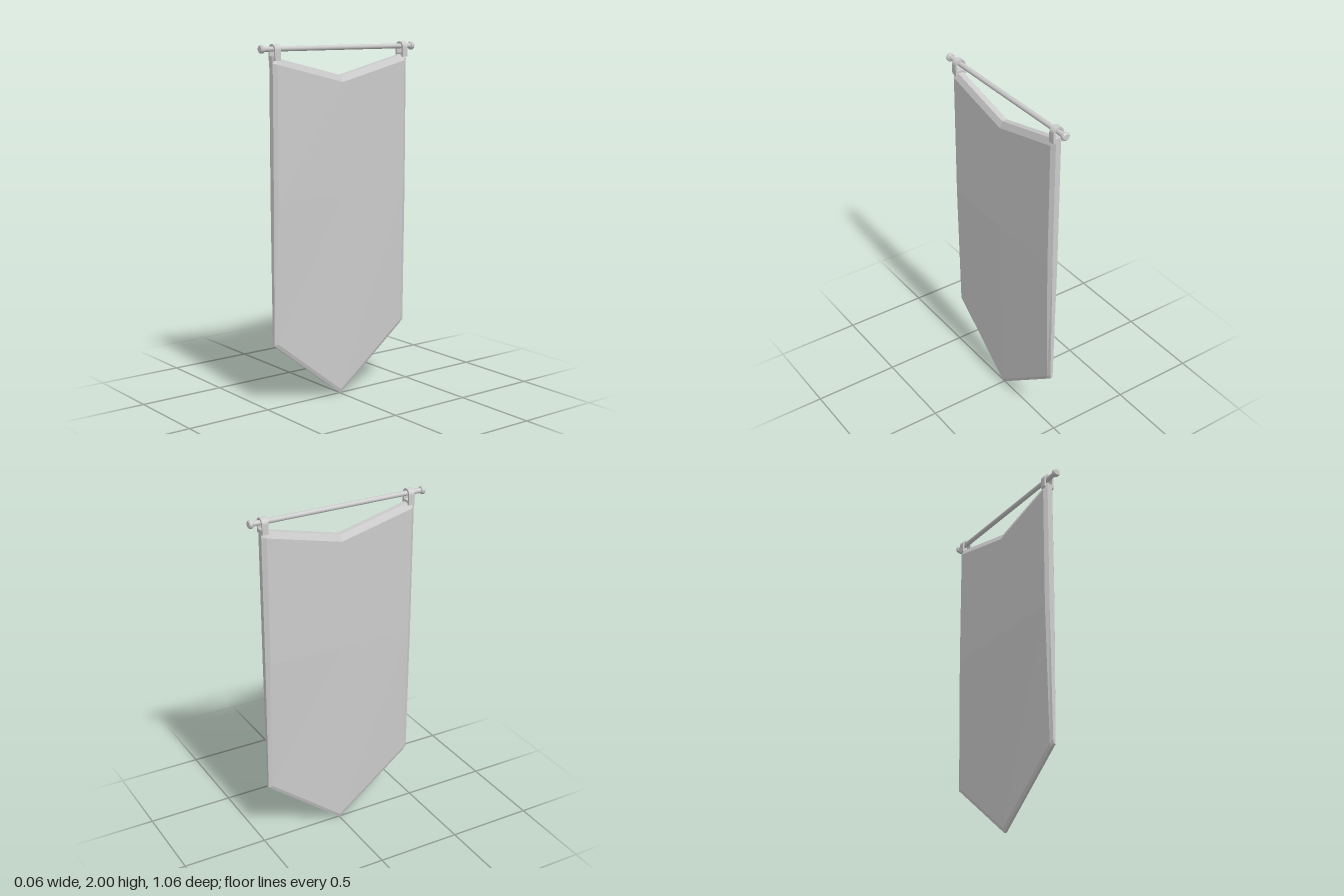
import * as THREE from 'three';

const material = new THREE.MeshStandardMaterial({ color: 0xcccccc });
const flat = new THREE.MeshStandardMaterial({ color: 0xcccccc, flatShading: true, side: THREE.DoubleSide });

function add(parent, name, geometry, mat = material) {
  const mesh = new THREE.Mesh(geometry, mat);
  mesh.name = name;
  parent.add(mesh);
  return mesh;
}

// Cloth panel: two bevelled sheets on a grid of columns (z) and rows (y), joined by an edge strip
function clothGeometry() {
  const columns = [-0.465, -0.441, 0, 0.436, 0.457];
  const last = 4;
  const halfThickness = y => 0.015 + 0.017 * THREE.MathUtils.clamp((y - 0.36) / 0.8, 0, 1);
  const point = (c, r, side) => {
    const z = columns[c], t = Math.abs(z) / 0.46;
    const top = 1.822 + 0.112 * t, bottom = 0.36 * t;
    const y = [top, top - 0.036, 1.16, bottom + 0.024, bottom][r];
    const rim = c === 0 || c === last || r === 0 || r === last;
    return [side * halfThickness(y) * (rim ? 0.5 : 1), y, z];
  };
  const pos = [];
  const quad = (a, b, c, d) => pos.push(...a, ...b, ...c, ...a, ...c, ...d);
  for (let c = 0; c < last; c++) {
    for (let r = 0; r < last; r++) {
      const corners = s => [point(c, r, s), point(c + 1, r, s), point(c + 1, r + 1, s), point(c, r + 1, s)];
      quad(...corners(1));
      quad(...corners(-1).reverse());
    }
  }
  // edge strip, walking round the border
  const border = [];
  for (let i = 0; i < last; i++) border.push([i, 0]);
  for (let i = 0; i < last; i++) border.push([last, i]);
  for (let i = last; i > 0; i--) border.push([i, last]);
  for (let i = last; i > 0; i--) border.push([0, i]);
  border.forEach((p, i) => {
    const q = border[(i + 1) % border.length];
    quad(point(...p, 1), point(...p, -1), point(...q, -1), point(...q, 1));
  });
  const geo = new THREE.BufferGeometry();
  geo.setAttribute('position', new THREE.Float32BufferAttribute(pos, 3));
  geo.computeVertexNormals();
  return geo;
}

// Hanging loop: an arch with straight legs, open in the middle
function loopGeometry() {
  const shape = new THREE.Shape();
  shape.moveTo(-0.032, -0.055);
  shape.lineTo(0.032, -0.055);
  shape.lineTo(0.032, 0);
  shape.absarc(0, 0, 0.032, 0, Math.PI, false);
  shape.closePath();
  const hole = new THREE.Path();
  hole.moveTo(-0.021, -0.032);
  hole.lineTo(0.021, -0.032);
  hole.lineTo(0.021, 0);
  hole.absarc(0, 0, 0.021, 0, Math.PI, false);
  hole.closePath();
  shape.holes.push(hole);
  return new THREE.ExtrudeGeometry(shape, { depth: 0.036, bevelEnabled: false, curveSegments: 8 });
}

export function createModel() {
  const group = new THREE.Group();
  group.name = 'hangingBanner';

  add(group, 'cloth', clothGeometry(), flat);

  // Rod running front to back
  const rodY = 1.974;
  const rod = add(group, 'rod', new THREE.CylinderGeometry(0.014, 0.014, 1.02, 16));
  rod.rotation.x = Math.PI / 2;
  rod.position.y = rodY;

  // Rounded end caps and hanging loops
  const capProfile = [[0, -0.012], [0.018, -0.012], [0.023, -0.007], [0.023, 0.006], [0.017, 0.012], [0, 0.012]]
    .map(([x, y]) => new THREE.Vector2(x, y));
  for (const s of [1, -1]) {
    const cap = add(group, s > 0 ? 'frontCap' : 'backCap', new THREE.LatheGeometry(capProfile, 16), flat);
    cap.rotation.x = s * Math.PI / 2;
    cap.position.set(0, rodY, s * 0.517);

    const loop = add(group, s > 0 ? 'frontLoop' : 'backLoop', loopGeometry());
    loop.position.set(0, 1.968, s > 0 ? 0.415 : -0.465);
  }
  return group;
}
